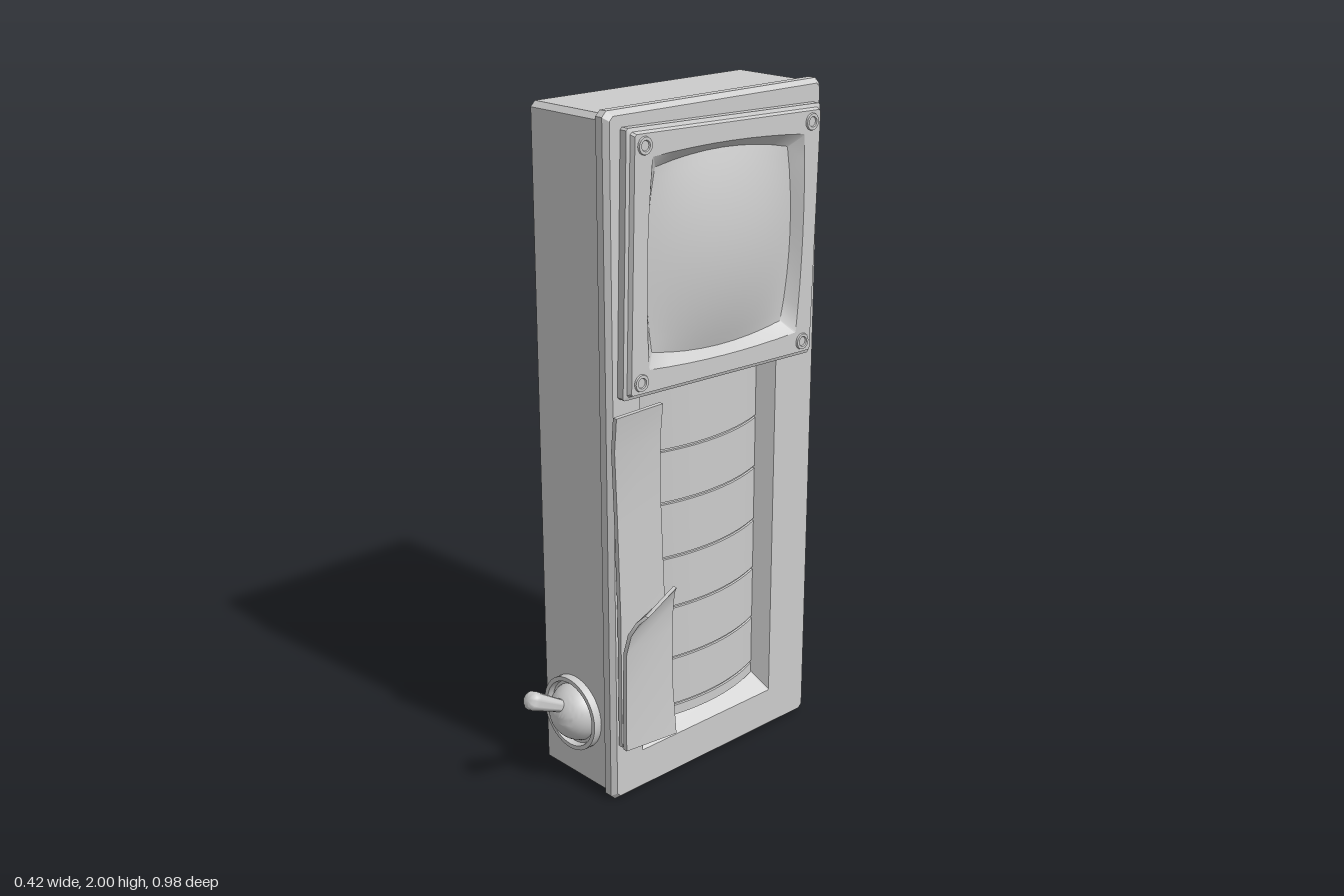
import * as THREE from 'three';
import { toCreasedNormals } from 'three/addons/utils/BufferGeometryUtils.js';

const grey = new THREE.MeshStandardMaterial({ color: 0xcccccc, side: THREE.DoubleSide });
grey.name = 'plain grey';

function add(parent, name, geometry, crease = 0.5) {
  const mesh = new THREE.Mesh(toCreasedNormals(geometry, crease), grey);
  mesh.name = name;
  parent.add(mesh);
  return mesh;
}

// Skin through rings of equal point count, with optional end caps
function loft(rings, capStart, capEnd) {
  const pos = [];
  const tri = (a, b, c) => pos.push(...a, ...b, ...c);
  const n = rings[0].length;
  for (let r = 0; r < rings.length - 1; r++) {
    for (let i = 0; i < n; i++) {
      const j = (i + 1) % n, A = rings[r], B = rings[r + 1];
      tri(A[i], A[j], B[j]);
      tri(A[i], B[j], B[i]);
    }
  }
  const first = rings[0], last = rings[rings.length - 1];
  for (let i = 1; i < n - 1; i++) {
    if (capStart) tri(first[0], first[i + 1], first[i]);
    if (capEnd) tri(last[0], last[i], last[i + 1]);
  }
  const g = new THREE.BufferGeometry();
  g.setAttribute('position', new THREE.Float32BufferAttribute(pos, 3));
  g.computeVertexNormals();
  return g;
}

// Rectangle outline at depth z, with cut corners and optionally bowed sides
function rect(x0, x1, y0, y1, z, cut = 0.003, bow = 0, n = 2) {
  const cx = (x0 + x1) / 2, cy = (y0 + y1) / 2, hx = (x1 - x0) / 2, hy = (y1 - y0) / 2;
  const pts = [];
  for (let side = 0; side < 4; side++) {
    const along = side % 2 ? hy : hx, out = side % 2 ? hx : hy;
    for (let i = 0; i < n; i++) {
      const t = (2 * i / (n - 1) - 1), a = t * (along - cut), o = out + bow * (1 - t * t);
      const [x, y] = [[a, -o], [o, a], [-a, o], [-o, -a]][side];
      pts.push([cx + x, cy + y, z]);
    }
  }
  return pts;
}
const square = (h, z, cut, bow) => rect(-h, h, -h, h, z, cut, bow, 9);

// Thin bent strip; rows are [yLeft, yRight, xLeft, xRight, zLeft, zRight]
function strip(rows, t) {
  return loft(rows.map(([yl, yr, xl, xr, zl, zr]) =>
    [[xl, yl, zl], [xr, yr, zr], [xr, yr, zr - t], [xl, yl, zl - t]]), true, true);
}

const lathe = (pts, seg = 32, start = 0, len = Math.PI * 2) =>
  new THREE.LatheGeometry(pts.map(p => new THREE.Vector2(...p)), seg, start, len);

export function createModel() {
  const model = new THREE.Group();
  model.name = 'controlBox';

  // The panel is built facing +z, then turned to face +x
  const panel = new THREE.Group();
  panel.name = 'panelAssembly';
  panel.rotation.y = Math.PI / 2;
  model.add(panel);

  // Housing, open behind the window
  add(panel, 'housing', loft([
    rect(-0.305, 0.49, 0.01, 1.99, -0.21, 0.015),
    rect(-0.305, 0.49, 0.01, 1.99, 0.06, 0.015),
  ], true, false));

  // Face plate with bevelled window
  add(panel, 'facePlate', loft([
    rect(-0.3, 0.485, 0.015, 1.985, 0.055, 0.015),
    rect(-0.31, 0.495, 0, 2, 0.055, 0.015),
    rect(-0.31, 0.495, 0, 2, 0.08, 0.015),
    rect(-0.298, 0.483, 0.013, 1.987, 0.095, 0.012),
    rect(-0.2, 0.33, 0.13, 1.3, 0.095),
    rect(-0.17, 0.3, 0.19, 1.26, 0.035),
  ], false, true));

  // Curved drum with grooves between its bands
  const R = 0.636, half = 0.379, profile = [[R, 0.185]];
  for (const y of [0.22, 0.375, 0.54, 0.7, 0.87, 1.03]) {
    profile.push([R, y - 0.004], [R - 0.006, y - 0.003], [R - 0.006, y + 0.003], [R, y + 0.004]);
  }
  profile.push([R, 1.25]);
  add(panel, 'bandedDrum', lathe(profile, 20, -half, half * 2)).position.set(0.065, 0, 0.09 - R);

  // Slightly crooked screen unit
  const screen = new THREE.Group();
  screen.name = 'screenUnit';
  screen.position.set(0.09, 1.585, 0);
  screen.rotation.z = -0.027;
  panel.add(screen);
  add(screen, 'screenFrame', loft([
    square(0.362, 0.09, 0.006), square(0.362, 0.118, 0.006),
    square(0.352, 0.122, 0.006), square(0.347, 0.135, 0.006),
    square(0.285, 0.135, 0.003, 0.012), square(0.25, 0.105, 0.003, 0.025),
  ], false, false));

  // Domed glass
  const glass = new THREE.PlaneGeometry(2, 2, 16, 16), p = glass.attributes.position;
  for (let i = 0; i < p.count; i++) {
    const s = p.getX(i), t = p.getY(i), a = 1 - s * s, b = 1 - t * t;
    p.setXYZ(i, s * (0.251 + 0.025 * b), t * (0.251 + 0.025 * a), 0.105 + 0.045 * a * b);
  }
  glass.computeVertexNormals();
  add(screen, 'screenGlass', glass, 1);

  // Corner screws
  for (const sx of [-1, 1]) for (const sy of [-1, 1]) {
    const screw = add(screen, 'screw', lathe(
      [[0.025, 0], [0.023, 0.006], [0.015, 0.006], [0.013, 0.002], [0, 0.002]], 16));
    screw.rotation.x = Math.PI / 2;
    screw.position.set(sx * 0.313, sy * 0.316, 0.134);
  }

  // Long tape and short curled leaf over the window's edge
  add(panel, 'longTape', strip([
    [0.19, 0.19, -0.3, -0.13, 0.12, 0.125],
    [0.6, 0.6, -0.3, -0.135, 0.12, 0.122],
    [0.9, 0.9, -0.31, -0.145, 0.122, 0.118],
    [1.1, 1.1, -0.32, -0.15, 0.125, 0.122],
    [1.2, 1.2, -0.325, -0.15, 0.14, 0.132],
  ], 0.014), 0.8);
  add(panel, 'curledLeaf', strip([
    [0.19, 0.18, -0.305, -0.12, 0.145, 0.155],
    [0.35, 0.35, -0.306, -0.124, 0.146, 0.143],
    [0.5, 0.52, -0.306, -0.122, 0.15, 0.14],
    [0.56, 0.59, -0.3, -0.118, 0.163, 0.14],
    [0.6, 0.63, -0.29, -0.116, 0.185, 0.144],
    [0.625, 0.645, -0.275, -0.115, 0.207, 0.15],
  ], 0.014), 0.8);

  // Toggle switch on the front side
  const toggle = new THREE.Group();
  toggle.name = 'toggleSwitch';
  toggle.position.set(-0.078, 0.23, 0.3);
  toggle.rotation.x = Math.PI / 2;
  model.add(toggle);
  add(toggle, 'toggleCollar', lathe(
    [[0.113, 0], [0.113, 0.03], [0.1, 0.03], [0.096, 0.012], [0, 0.012]], 40));
  add(toggle, 'toggleDome', new THREE.SphereGeometry(0.09, 32, 16, 0, Math.PI * 2, 0, Math.PI / 2), 1)
    .position.y = -0.01;
  const lever = add(toggle, 'toggleLever', lathe(
    [[0.018, 0.06], [0.02, 0.1], [0.028, 0.19], [0.027, 0.207], [0.019, 0.216], [0, 0.219]], 20), 0.9);
  lever.position.y = -0.01;
  lever.rotation.x = -0.49;

  return model;
}
